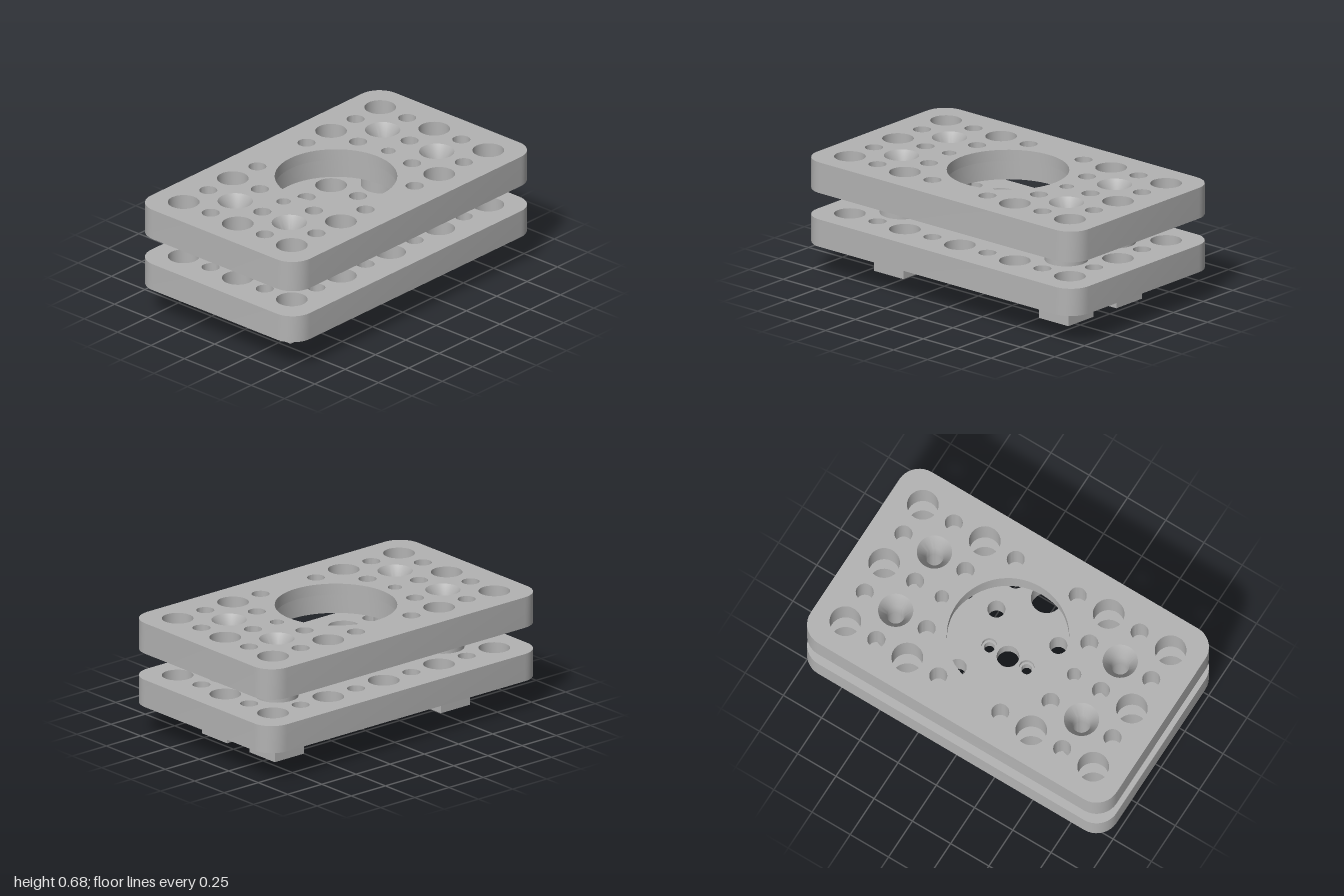
import * as THREE from 'three';
import { mergeGeometries, toCreasedNormals } from 'three/addons/utils/BufferGeometryUtils.js';

const G = 0.2025;              // hole grid pitch
const BIG = 0.088, SMALL = 0.05;
const ROUND = 36;

// Counter-clockwise polygon seen from above, in plane coordinates (x, -z)
function ngon(x, z, r, n = ROUND) {
  const phase = n === 4 ? Math.PI / 4 : 0;
  return Array.from({ length: n }, (_, i) => {
    const a = phase + (i / n) * Math.PI * 2;
    return new THREE.Vector2(x + r * Math.cos(a), -z + r * Math.sin(a));
  });
}

function roundedRect(hx, hz, r) {
  const pts = [];
  [[1, 1], [-1, 1], [-1, -1], [1, -1]].forEach(([sx, sz], q) => {
    for (let i = 0; i <= 9; i++) {
      const a = (q + i / 9) * Math.PI / 2;
      pts.push(new THREE.Vector2(sx * (hx - r) + r * Math.cos(a), sz * (hz - r) + r * Math.sin(a)));
    }
  });
  return pts;
}

// Flat face with holes
function cap(loop, holes, y, up) {
  const shape = new THREE.Shape(loop);
  holes.forEach(h => shape.holes.push(new THREE.Path(h)));
  const g = new THREE.ShapeGeometry(shape);
  if (!up) g.index.array.reverse();
  g.rotateX(-Math.PI / 2).translate(0, y, 0);
  g.deleteAttribute('uv');
  g.deleteAttribute('normal');
  return g.toNonIndexed();
}

// Wall between two matching loops
function wall(low, y0, high, y1, inward) {
  const p = [], n = low.length;
  for (let i = 0; i < n; i++) {
    const j = (i + 1) % n;
    const a = [low[i].x, y0, -low[i].y], b = [low[j].x, y0, -low[j].y];
    const c = [high[j].x, y1, -high[j].y], d = [high[i].x, y1, -high[i].y];
    if (inward) p.push(...a, ...c, ...b, ...a, ...d, ...c);
    else p.push(...a, ...b, ...c, ...a, ...c, ...d);
  }
  const g = new THREE.BufferGeometry();
  g.setAttribute('position', new THREE.Float32BufferAttribute(p, 3));
  return g;
}

// Stepped bore; sections run upward as [lower radius, lower y, upper radius, upper y, sides]
function bore(parts, x, z, sections) {
  let bottom, top;
  sections.forEach(([r0, y0, r1, y1, n], i) => {
    const low = ngon(x, z, r0, n), high = ngon(x, z, r1, n);
    if (i === 0) bottom = low;
    else {
      const before = sections[i - 1][2];
      if (before > r0) parts.push(cap(top, [low], y0, false));
      else if (before < r0) parts.push(cap(low, [top], y0, true));
    }
    parts.push(wall(low, y0, high, y1, true));
    top = high;
  });
  return { bottom, top };
}

function finish(name, parts, material) {
  const mesh = new THREE.Mesh(toCreasedNormals(mergeGeometries(parts), 0.6), material);
  mesh.name = name;
  return mesh;
}

// Solid with the given outline, pierced by bores [x, z, sections]
function pierced(name, outline, y0, y1, bores, material, extra) {
  const parts = [wall(outline, y0, outline, y1, false)];
  const ends = bores.map(([x, z, s]) => bore(parts, x, z, s));
  const bottoms = ends.map(e => e.bottom), tops = ends.map(e => e.top);
  if (extra) extra(parts, bottoms, tops);
  parts.push(cap(outline, bottoms, y0, false), cap(outline, tops, y1, true));
  return finish(name, parts, material);
}

export function createModel() {
  const group = new THREE.Group();
  const grey = new THREE.MeshStandardMaterial({ color: 0xb3b3b3 });
  grey.name = 'grey plastic';
  const signs = [-1, 1];
  const outline = roundedRect(1, 0.595, 0.13);

  // Straight holes found in both plates
  const gridHoles = (y0, y1) => {
    const list = [];
    const add = (x, z, r) => list.push([x, z, [[r, y0, r, y1, ROUND]]]);
    for (const sx of signs) {
      add(sx * 4 * G, 0, BIG);
      add(sx * 3 * G, 0, SMALL);
      add(sx * 0.432, 0, 0.04);
      for (const sz of signs) {
        add(sx * 4 * G, sz * 2 * G, BIG);
        add(sx * 2 * G, sz * 2 * G, BIG);
        add(sx * 3 * G, sz * 2 * G, SMALL);
        add(sx * 4 * G, sz * G, SMALL);
        add(sx * 2 * G, sz * G, SMALL);
      }
    }
    return list;
  };

  // Top plate: large stepped opening and countersunk screw holes
  const t0 = 0.495, t1 = 0.675;
  const topBores = gridHoles(t0, t1);
  topBores.push([0, 0, [[0.36, t0, 0.36, 0.61, 64], [0.34, 0.61, 0.34, t1, 64]]]);
  for (const sx of signs) for (const sz of signs) {
    topBores.push([sx * G, sz * 2 * G, [[SMALL, t0, SMALL, t1, ROUND]]]);
    topBores.push([sx * 3 * G, sz * G, [[SMALL, t0, SMALL, 0.595, ROUND], [SMALL, 0.595, 0.098, t1, ROUND]]]);
  }
  group.add(pierced('topPlate', outline, t0, t1, topBores, grey));

  // Bottom plate: nut pockets along the back and a stepped square recess underneath
  const b0 = 0.18, b1 = 0.34, ceiling = 0.25;
  const bottomBores = gridHoles(b0, b1);
  for (const sz of signs) {
    bottomBores.push([0, sz * 2 * G, [[BIG, b0, BIG, b1, ROUND]]]);
    for (const sx of signs) {
      bottomBores.push([sx * G, sz * G, [[SMALL, b0, SMALL, b1, ROUND]]]);
      bottomBores.push([sx * 3 * G, sz * G, [[SMALL, b0, SMALL, b1, ROUND]]]);
      bottomBores.push([sx * G, sz * 2 * G, sz < 0
        ? [[0.085, b0, 0.085, 0.25, 6], [SMALL, 0.25, SMALL, b1, ROUND]]
        : [[SMALL, b0, SMALL, b1, ROUND]]]);
    }
  }
  const recess = (parts, bottoms, tops) => {
    const pocket = bore(parts, 0, 0, [
      [0.185 * Math.SQRT2, b0, 0.185 * Math.SQRT2, 0.21, 4],
      [0.16 * Math.SQRT2, 0.21, 0.16 * Math.SQRT2, ceiling, 4]]);
    const inner = [bore(parts, 0, 0, [[0.063, ceiling, 0.063, b1, ROUND]])];
    for (const sx of signs) inner.push(bore(parts, sx * 0.122, 0,
      [[0.03, ceiling, 0.03, 0.31, ROUND], [0.043, 0.31, 0.043, b1, ROUND]]));
    parts.push(cap(pocket.top, inner.map(e => e.bottom), ceiling, false));
    bottoms.push(pocket.bottom);
    inner.forEach(e => tops.push(e.top));
  };
  group.add(pierced('bottomPlate', outline, b0, b1, bottomBores, grey, recess));

  // Round spacers between the plates and square nut-holder feet
  for (const sx of signs) for (const sz of signs) {
    const x = sx * 3 * G, z = sz * G;
    group.add(pierced('spacer', ngon(x, z, 0.121), b1, t0,
      [[x, z, [[SMALL, b1, SMALL, t0, ROUND]]]], grey));
    group.add(pierced('foot', ngon(x, z, 0.107 * Math.SQRT2, 4), 0, b0,
      [[x, z, [[0.085, 0, 0.085, 0.1, 6], [SMALL, 0.1, SMALL, b0, ROUND]]]], grey));
  }
  return group;
}
